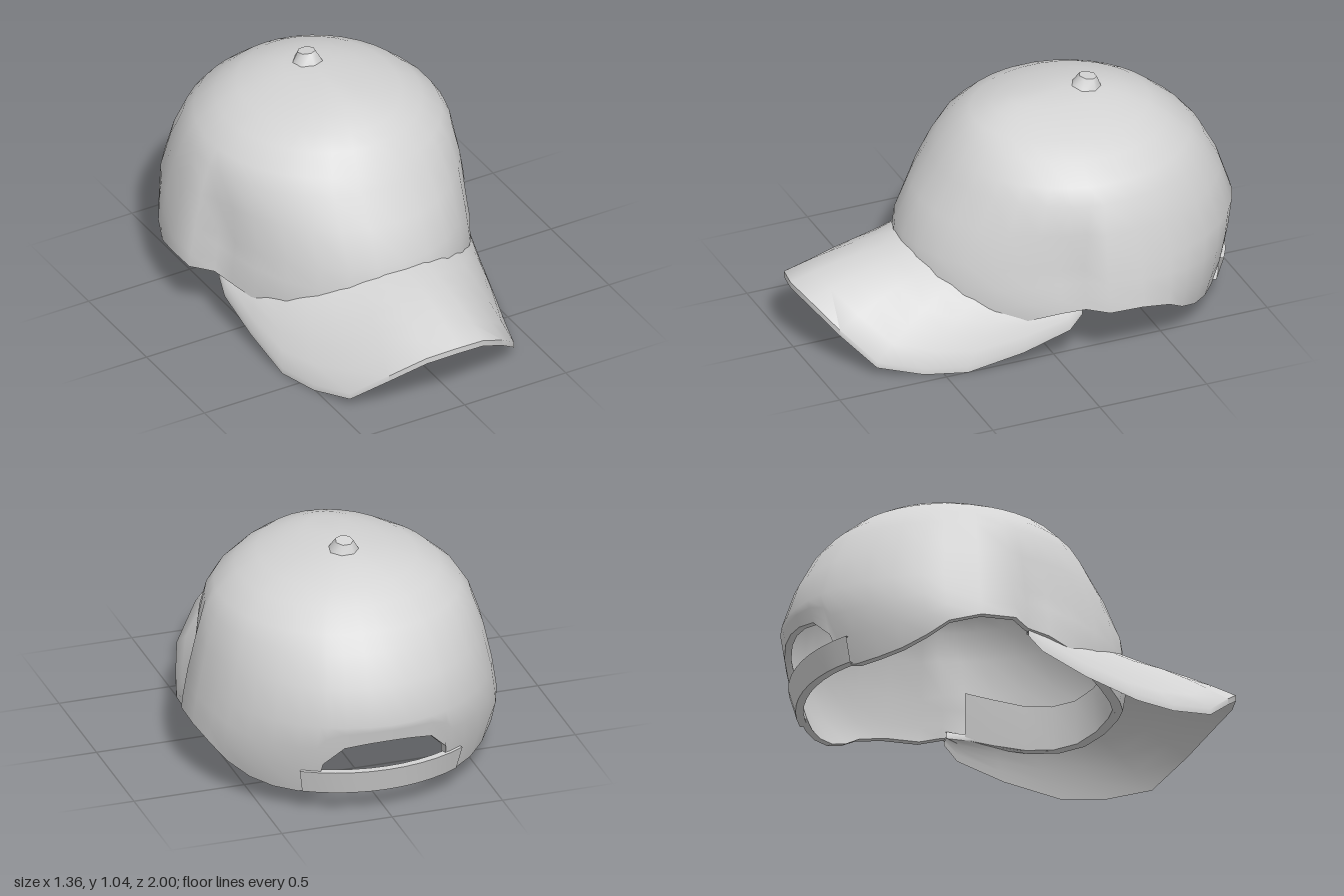
import * as THREE from 'three';
import { toCreasedNormals } from 'three/addons/utils/BufferGeometryUtils.js';

const CENTRE_Z = -0.27;

// crown profile by height: y, front z, back z, half width
const PROFILE = [
  [0.09, 0.48, -0.91, 0.64], [0.2, 0.5, -0.94, 0.68], [0.27, 0.51, -0.965, 0.685],
  [0.44, 0.49, -1.0, 0.655], [0.6, 0.41, -0.945, 0.62], [0.73, 0.325, -0.875, 0.575],
  [0.8, 0.28, -0.815, 0.53], [0.88, 0.21, -0.72, 0.44], [0.93, 0.15, -0.64, 0.34],
  [0.965, 0.06, -0.54, 0.22], [0.985, -0.02, -0.46, 0.13], [1.0, -0.27, -0.27, 0],
];

// rim of the crown: angle from the front in degrees, height
const RIM = [
  [0, 0.17], [12, 0.155], [24, 0.14], [36, 0.145], [48, 0.17], [60, 0.21], [70, 0.24], [78, 0.25],
  [84, 0.255], [96, 0.25], [108, 0.215], [116, 0.16], [126, 0.115], [136, 0.095], [146, 0.09],
  [153, 0.11], [156, 0.25], [163, 0.335], [172, 0.355], [180, 0.36],
];

// outer and inner edges of the brim, from the middle to the +x side
const BRIM_OUTER = [
  [0, 0.305, 1.0], [0.14, 0.28, 0.97], [0.28, 0.19, 0.89], [0.405, 0.07, 0.77], [0.475, 0.03, 0.58],
  [0.53, 0.03, 0.4], [0.565, 0.1, 0.16], [0.59, 0.185, -0.04], [0.585, 0.25, -0.1],
];
const BRIM_INNER = [
  [0, 0.41, 0.49], [0.1, 0.405, 0.475], [0.2, 0.38, 0.43], [0.3, 0.345, 0.37], [0.38, 0.315, 0.29],
  [0.45, 0.29, 0.19], [0.5, 0.27, 0.08], [0.54, 0.265, -0.03], [0.555, 0.27, -0.1],
];

function profileAt(y) {
  let i = 0;
  while (i < PROFILE.length - 2 && y > PROFILE[i + 1][0]) i++;
  const a = PROFILE[i], b = PROFILE[i + 1];
  const t = THREE.MathUtils.clamp((y - a[0]) / (b[0] - a[0]), 0, 1);
  return a.map((v, k) => v + (b[k] - v) * t);
}

// point on the crown; inset moves it towards the inside
function crownPoint(deg, y, inset = 0) {
  const [, front, back, width] = profileAt(y);
  const a = THREE.MathUtils.degToRad(deg);
  const reach = Math.max(0, (Math.cos(a) > 0 ? front - CENTRE_Z : CENTRE_Z - back) - inset);
  // the front panels sit narrower than the rear ones near the rim
  const isFront = Math.cos(a) > 0.15;
  const pinch = isFront ? 1 - 0.1 * (1 - THREE.MathUtils.smoothstep(y, 0.4, 0.8)) : 1;
  const topDrop = inset * THREE.MathUtils.smoothstep(y, 0.6, 1);
  return [Math.max(0, width - inset) * pinch * Math.sin(a), y - topDrop, CENTRE_Z + reach * Math.cos(a)];
}

// skin a grid of points: rows run downwards, columns to the right, seen from outside
function skin(rows, crease) {
  const cols = rows[0].length, index = [];
  for (let i = 0; i < rows.length - 1; i++) {
    for (let j = 0; j < cols - 1; j++) {
      const a = i * cols + j, c = a + cols;
      index.push(a, c, c + 1, a, c + 1, a + 1);
    }
  }
  const geo = new THREE.BufferGeometry();
  geo.setAttribute('position', new THREE.Float32BufferAttribute(rows.flat(2), 3));
  geo.setIndex(index);
  return toCreasedNormals(geo, crease);
}

function crownGeometry() {
  const columns = [...RIM, ...RIM.slice(0, -1).reverse().map(([d, y]) => [360 - d, y])];
  const upper = PROFILE.slice(3).map((p) => p[0]).reverse();
  const layer = (inset) => [
    ...upper.map((y) => columns.map(([d]) => crownPoint(d, y, inset))),
    ...[2 / 3, 1 / 3, 0].map((t) => columns.map(([d, rim]) => crownPoint(d, rim + (0.44 - rim) * t, inset))),
  ];
  return skin([...layer(0), ...layer(0.03).reverse()], 0.9);
}

function brimGeometry() {
  const mirror = (pts) => [...pts.slice(1).reverse().map(([x, y, z]) => [-x, y, z]), ...pts];
  // the free edge leans slightly to the -x side
  const outer = mirror(BRIM_OUTER).map(([x, y, z]) => [x - 0.03 * THREE.MathUtils.smoothstep(z, -0.1, 0.5), y, z]);
  const inner = mirror(BRIM_INNER);
  const row = (t, drop) => outer.map((o, j) => {
    const p = inner[j].map((v, k) => v + (o[k] - v) * t);
    p[1] += 0.018 * Math.sin(Math.PI * t) - drop;
    return p;
  });
  const steps = [0, 0.2, 0.4, 0.6, 0.8, 1];
  const top = steps.map((t) => row(t, 0));
  const bottom = steps.map((t) => row(t, 0.028)).reverse();
  return skin([...top, ...bottom, top[0]], 0.9);
}

// band folded up inside the front of the crown
function sweatbandGeometry() {
  const half = RIM.slice(0, 7);
  const columns = [...half.slice(1).reverse().map(([d, y]) => [-d, y]), ...half];
  const edge = (lift, inset) => columns.map(([d, rim]) => crownPoint(d, rim + lift, inset));
  return skin([edge(0.2, 0.03), edge(0, 0.02), edge(0, 0.045), edge(0.2, 0.07), edge(0.2, 0.03)], 0.7);
}

function strapGeometry() {
  const angles = Array.from({ length: 11 }, (_, i) => 148 + i * 6.4);
  const edge = (y, inset) => angles.map((d) => crownPoint(d, y, inset));
  return skin([edge(0.21, -0.015), edge(0.1, -0.015), edge(0.1, 0.02), edge(0.21, 0.02), edge(0.21, -0.015)], 0.7);
}

export function createModel() {
  const fabric = new THREE.MeshStandardMaterial({ color: 0xd4d4d4, side: THREE.DoubleSide });
  fabric.name = 'lightGreyFabric';
  const cap = new THREE.Group();
  cap.name = 'cap';
  const add = (name, geometry) => {
    const mesh = new THREE.Mesh(geometry, fabric);
    mesh.name = name;
    cap.add(mesh);
    return mesh;
  };

  add('crown', crownGeometry());
  add('brim', brimGeometry());
  add('sweatband', sweatbandGeometry());
  add('backStrap', strapGeometry());

  // small tapered button on top
  const button = add('topButton', toCreasedNormals(new THREE.CylinderGeometry(0.04, 0.08, 0.07, 7), 1));
  button.position.set(0.005, 1.0, -0.37);
  button.rotation.x = -0.15;
  return cap;
}
